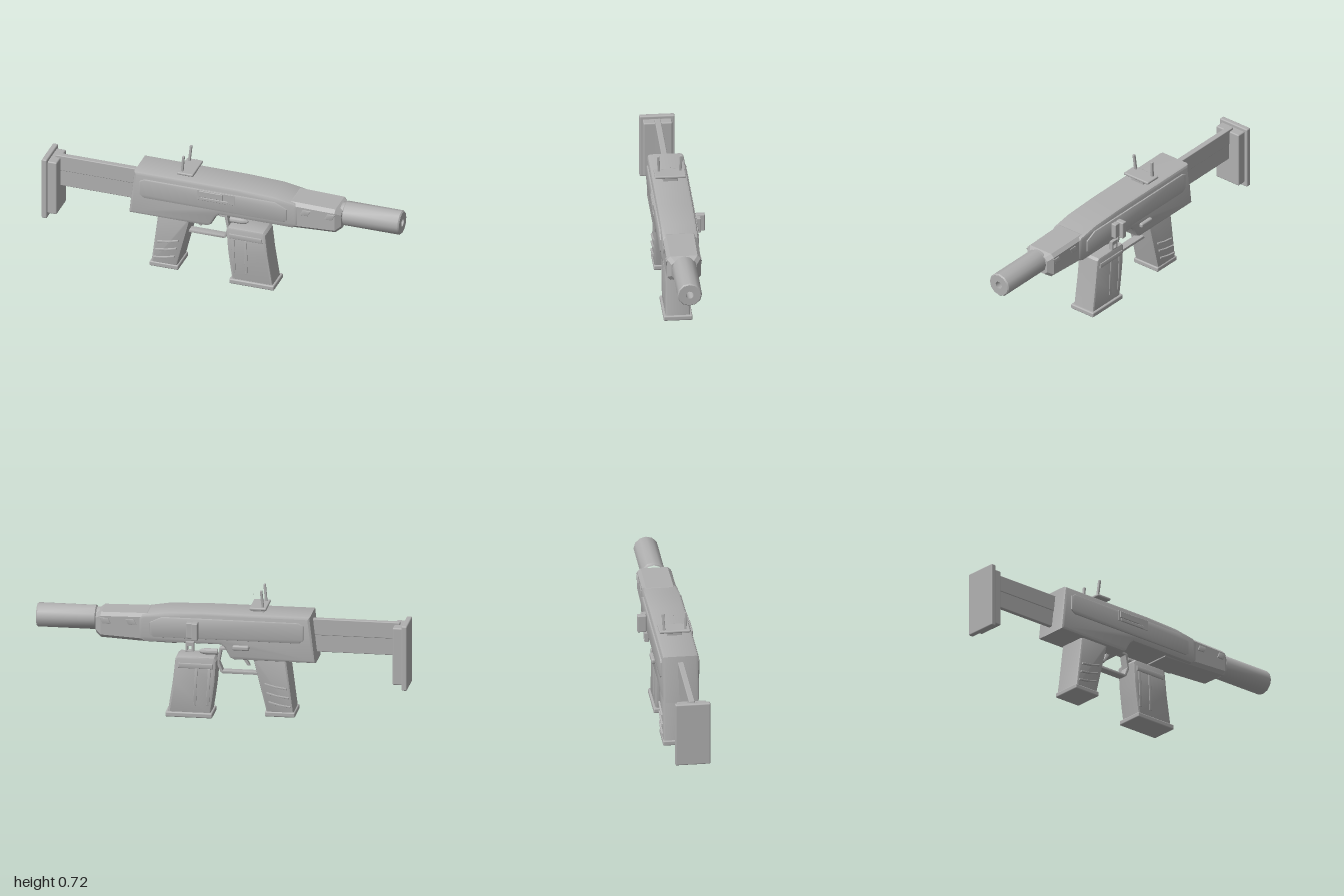
import * as THREE from 'three';
import { toCreasedNormals } from 'three/addons/utils/BufferGeometryUtils.js';
import { RoundedBoxGeometry } from 'three/addons/geometries/RoundedBoxGeometry.js';
import { ConvexGeometry } from 'three/addons/geometries/ConvexGeometry.js';

export function createModel() {
  const root = new THREE.Group();
  root.name = 'sciFiCarbine';
  const grey = new THREE.MeshStandardMaterial({ color: 0xb0b0b0 });
  grey.name = 'plain grey';

  // All parts are symmetric about this centre plane
  const model = new THREE.Group();
  model.name = 'carbine';
  model.position.z = 0.022;
  root.add(model);

  function add(name, geometry) {
    const mesh = new THREE.Mesh(geometry, grey);
    mesh.name = name;
    model.add(mesh);
    return mesh;
  }

  // Side outline extruded across z, with bevelled rims
  function slab(name, pts, half, bevel = 0.004, z = 0) {
    const shape = new THREE.Shape(pts.map(p => new THREE.Vector2(p[0], p[1])));
    const g = new THREE.ExtrudeGeometry(shape, {
      depth: 2 * (half - bevel), bevelEnabled: bevel > 0, bevelThickness: bevel,
      bevelSize: bevel, bevelOffset: -bevel, bevelSegments: 2,
    });
    g.translate(0, 0, z - half + bevel);
    return add(name, toCreasedNormals(g, 0.5));
  }

  // Rounded box given by its limits
  function block(name, x0, x1, y0, y1, z0, z1, r = 0.004) {
    const g = new RoundedBoxGeometry(x1 - x0, y1 - y0, z1 - z0, 2, r);
    g.translate((x0 + x1) / 2, (y0 + y1) / 2, (z0 + z1) / 2);
    return add(name, g);
  }

  // Receiver
  slab('receiver', [[-0.48, 0.597], [0.1, 0.595], [0.3, 0.587], [0.42, 0.567], [0.44, 0.55],
    [0.44, 0.44], [0.41, 0.418], [0, 0.42], [-0.02, 0.405], [-0.05, 0.35], [-0.07, 0.34], [-0.51, 0.34]],
  0.097, 0.016);
  slab('sidePanel', [[-0.445, 0.548], [-0.42, 0.562], [0.315, 0.562], [0.38, 0.53], [0.38, 0.465],
    [0.36, 0.45], [-0.42, 0.45], [-0.445, 0.468]], 0.105, 0.005);

  // Handguard: octagonal sections, narrowing at the nose
  const sections = [[0.24, 0.412, 0.54, 0.088], [0.40, 0.416, 0.572, 0.092],
    [0.645, 0.428, 0.567, 0.09], [0.675, 0.448, 0.55, 0.068]];
  const points = [];
  for (const [x, y0, y1, w] of sections) {
    const c = 0.018;
    for (const s of [-1, 1]) {
      for (const [y, z] of [[y0, w - c], [y0 + c, w], [y1 - c, w], [y1, w - c]])
        points.push(new THREE.Vector3(x, y, s * z));
    }
  }
  add('handguard', new ConvexGeometry(points));
  for (const x of [0.452, 0.59])
    slab('handguardVent', [[x, 0.508], [x + 0.015, 0.54], [x + 0.06, 0.54], [x + 0.042, 0.508]], 0.095, 0.002);

  // Barrel sleeve with open bore
  const profile = [[0, 0.9], [0.021, 0.9], [0.021, 0.997], [0.06, 0.997], [0.066, 0.99], [0.066, 0.682],
    [0.058, 0.676], [0.058, 0.66]].map(([r, x]) => new THREE.Vector2(r, x));
  const barrel = new THREE.LatheGeometry(profile.reverse(), 12);
  barrel.rotateZ(-Math.PI / 2);
  barrel.translate(0, 0.514, 0);
  add('barrelSleeve', toCreasedNormals(barrel, 0.6));

  // Ejection port and bolt cover on the left
  block('ejectionPort', -0.12, 0.09, 0.503, 0.562, 0.08, 0.108, 0.002);
  block('boltCover', -0.108, 0.025, 0.522, 0.558, 0.08, 0.113, 0.003);
  block('boltRail', -0.1, 0.055, 0.503, 0.52, 0.08, 0.112, 0.003);

  // Charging handle, catch and selector on the right
  block('chargingKnob', 0.115, 0.148, 0.453, 0.55, -0.156, -0.107, 0.006);
  block('chargingStem', 0.146, 0.18, 0.46, 0.545, -0.133, -0.09, 0.005);
  const catchY = [[0.382, 0.39], [0.412, 0.435]];
  for (const [y0, y1] of catchY) block('catchBar', 0.14, 0.185, y0, y1, -0.115, -0.092, 0.002);
  for (const x of [0.14, 0.173]) block('catchSide', x, x + 0.012, 0.382, 0.435, -0.115, -0.092, 0.002);
  block('selector', -0.155, -0.065, 0.398, 0.425, -0.115, -0.09, 0.009);

  // Stock and butt
  block('stockUpperBar', -0.95, -0.45, 0.475, 0.565, -0.016, 0.016);
  block('stockLowerBar', -0.95, -0.45, 0.382, 0.48, -0.012, 0.012);
  block('buttPad', -1, -0.97, 0.212, 0.57, -0.094, 0.094, 0.007);
  block('buttPlate', -0.974, -0.92, 0.237, 0.553, -0.077, 0.077, 0.007);

  // Grip with slanted ribs
  slab('grip', [[-0.35, 0.36], [-0.17, 0.36], [-0.178, 0.32], [-0.245, 0.05], [-0.39, 0.05]], 0.08, 0.012);
  block('gripBase', -0.397, -0.235, 0.03, 0.058, -0.083, 0.083, 0.007);
  for (let i = 0; i < 3; i++) {
    const x = -0.352 - i * 0.011, y = 0.183 - i * 0.05;
    slab('gripRib', [[x, y], [x + 0.06, y + 0.008], [x + 0.118, y + 0.024],
      [x + 0.118, y + 0.034], [x + 0.06, y + 0.018], [x, y + 0.01]], 0.089, 0.003);
  }

  // Trigger and its guard
  slab('triggerGuard', [[-0.205, 0.24], [0, 0.24], [0.012, 0.247], [0.033, 0.295], [0.018, 0.38], [-0.03, 0.385],
    [-0.03, 0.37], [0.005, 0.368], [0.018, 0.297], [0, 0.255], [-0.205, 0.255]], 0.022, 0.002);
  slab('trigger', [[-0.118, 0.35], [-0.09, 0.35], [-0.112, 0.315], [-0.132, 0.285], [-0.146, 0.288], [-0.13, 0.315]],
    0.012, 0.003);

  // Magazine with raised ribs and top round
  slab('magazine', [[0.027, 0.32], [0.04, 0.337], [0.235, 0.337], [0.248, 0.325], [0.262, 0.2], [0.29, 0.02],
    [0.06, 0.02], [0.045, 0.12], [0.035, 0.2]], 0.066, 0.012);
  block('magazineBase', 0.048, 0.3, 0.002, 0.03, -0.077, 0.077, 0.007);
  slab('magazineBand', [[0.045, 0.302], [0.23, 0.302], [0.232, 0.274], [0.045, 0.274]], 0.071, 0.004);
  for (const x of [0.058, 0.128])
    slab('magazineRib', [[x, 0.274], [x + 0.016, 0.274], [x + 0.024, 0.07], [x + 0.008, 0.07]], 0.069, 0.002);
  const roundProfile = [[0, 0.03], [0.017, 0.03], [0.017, 0.095], [0.013, 0.115], [0.006, 0.128], [0, 0.131]];
  const cartridge = new THREE.LatheGeometry(roundProfile.map(([r, x]) => new THREE.Vector2(r, x)), 14);
  cartridge.rotateZ(-Math.PI / 2);
  cartridge.translate(0, 0.352, 0);
  add('topRound', toCreasedNormals(cartridge, 0.6));

  // Open sight with two splayed posts and a floating bead
  block('sightNeck', -0.225, -0.165, 0.585, 0.62, -0.04, 0.04, 0.003);
  block('sightPlate', -0.243, -0.152, 0.616, 0.631, -0.083, 0.083, 0.006);
  for (const s of [-1, 1]) {
    const post = new RoundedBoxGeometry(0.013, 0.1, 0.014, 2, 0.003);
    const mesh = add('sightPost', post);
    mesh.position.set(-0.217, 0.673, s * 0.059);
    mesh.rotation.set(s * 0.05, 0, -0.1);
  }
  add('sightBead', new THREE.SphereGeometry(0.002, 8, 6)).position.set(-0.16, 0.682, 0);

  return root;
}
